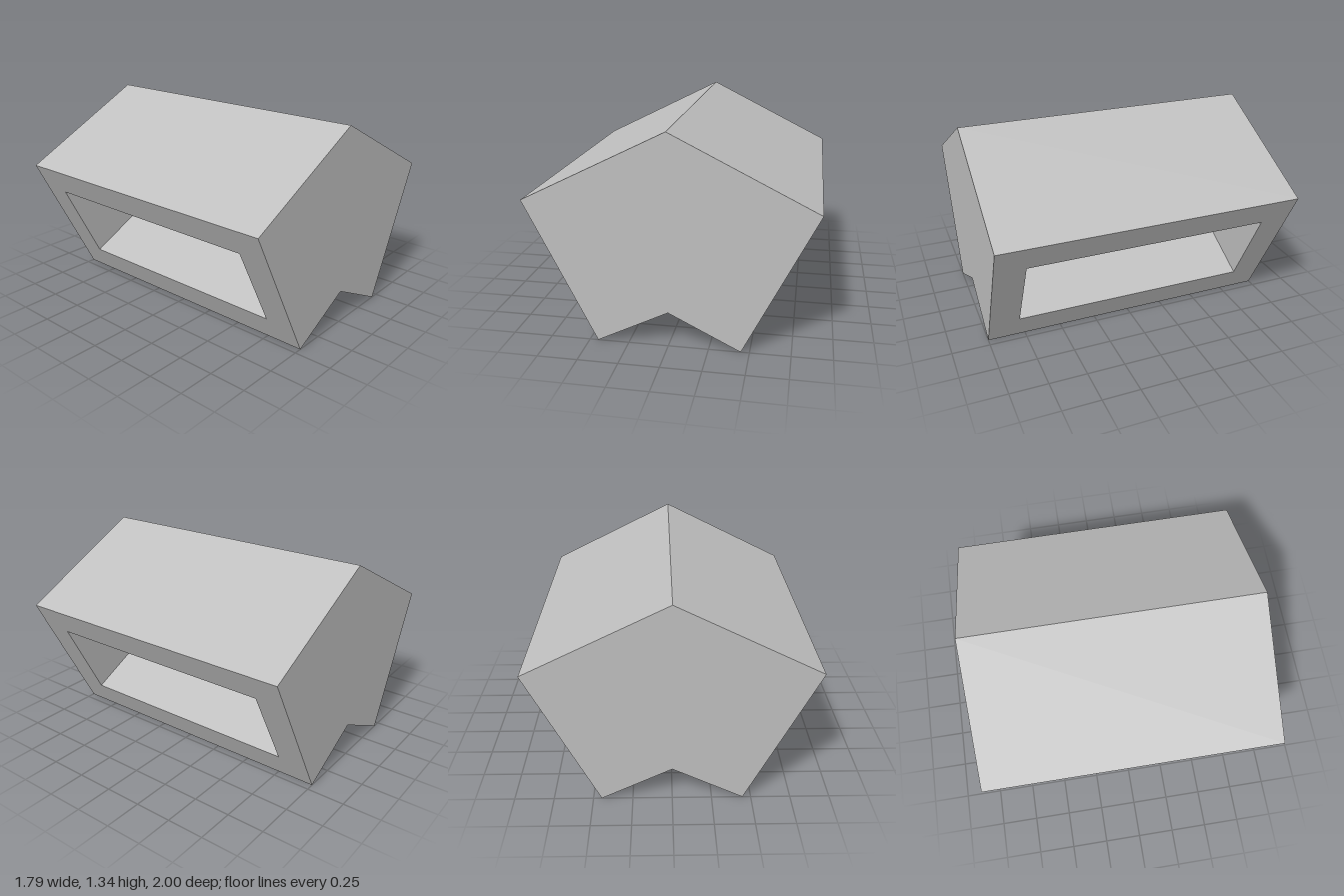
import * as THREE from 'three';

// The hull is a pair of unit-square tubes tilted at slope 1:2, meeting at x = 0.
const S = 1 / Math.sqrt(5);

function rectangle(PathType, x0, y0, x1, y1) {
  return new PathType([[x0, y0], [x1, y0], [x1, y1], [x0, y1]].map(([x, y]) => new THREE.Vector2(x, y)));
}

// One half: a framed side wall extruded inward and mitred on the centre plane.
function halfGeometry() {
  const frame = rectangle(THREE.Shape, -1, 0, 1, 1);
  frame.holes.push(rectangle(THREE.Path, -0.8, 0.2, 0.8, 0.8));
  const extruded = new THREE.ExtrudeGeometry(frame, { depth: 1, bevelEnabled: false });
  const p = extruded.attributes.position;

  // Lean the wall outward and slope the roof, floor and tunnel up to the centre
  for (let i = 0; i < p.count; i++) {
    const up = p.getY(i), out = p.getZ(i);
    const wallX = S * (1 + up);
    p.setXYZ(i, out * wallX, 2 * S * up + 0.5 * (1 - out) * wallX, -p.getX(i));
  }

  // Leave out the hidden cap where the halves join
  const kept = [];
  for (let i = 0; i < p.count; i += 3) {
    if (Math.max(p.getX(i), p.getX(i + 1), p.getX(i + 2)) < 1e-5) continue;
    for (let j = i; j < i + 3; j++) kept.push(p.getX(j), p.getY(j), p.getZ(j));
  }
  const geometry = new THREE.BufferGeometry();
  geometry.setAttribute('position', new THREE.Float32BufferAttribute(kept, 3));
  geometry.computeVertexNormals();
  return geometry;
}

export function createModel() {
  const model = new THREE.Group();
  model.name = 'gabledTunnelBlock';
  const grey = new THREE.MeshStandardMaterial({ color: 0xbfbfbf });
  grey.name = 'plainGrey';

  // Both halves are alike under a half turn
  const geometry = halfGeometry();
  for (const [name, turn] of [['leftHalf', 0], ['rightHalf', Math.PI]]) {
    const half = new THREE.Mesh(geometry, grey);
    half.name = name;
    half.rotation.y = turn;
    model.add(half);
  }
  return model;
}
